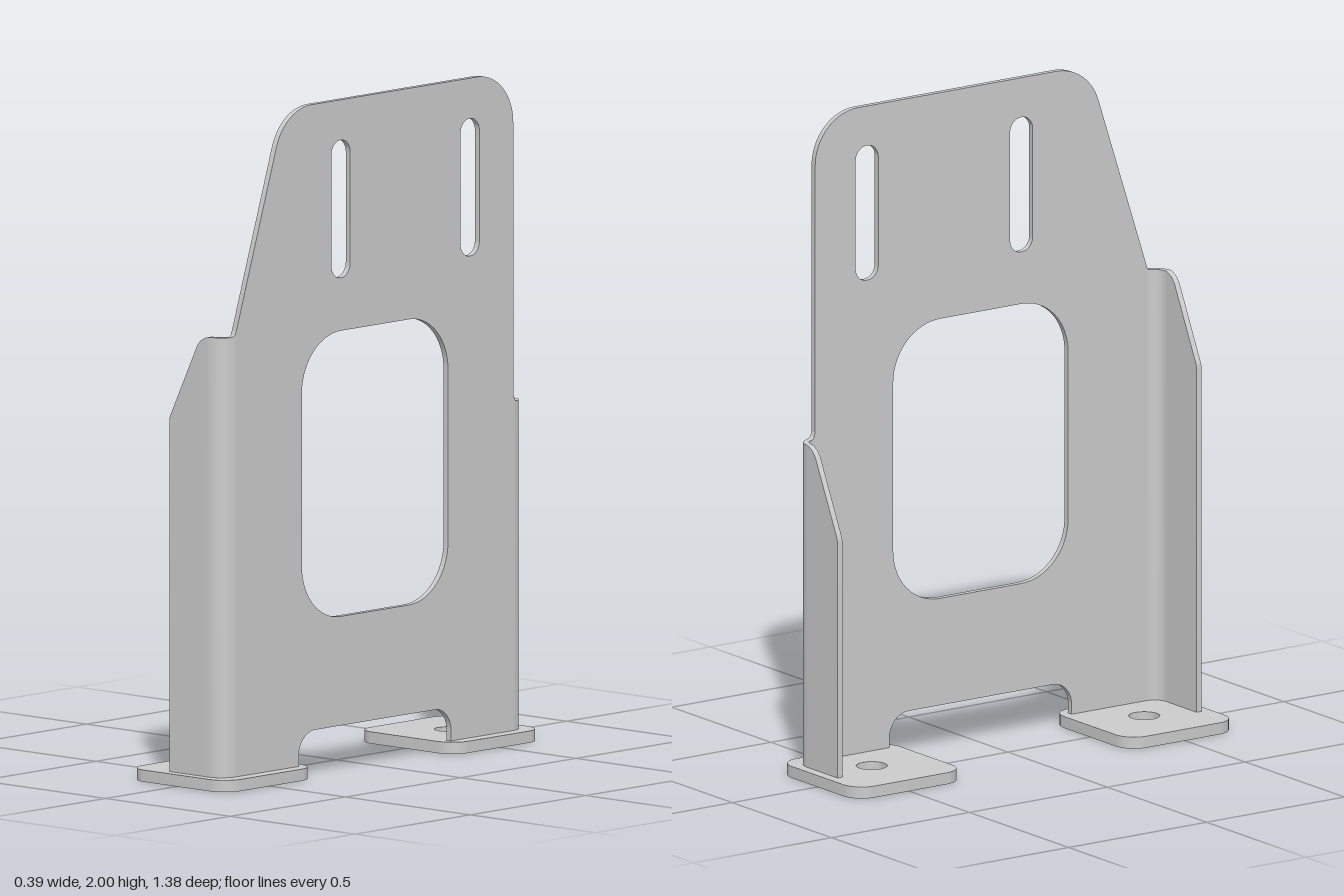
import * as THREE from 'three';
import { toCreasedNormals } from 'three/addons/utils/BufferGeometryUtils.js';

const T = 0.018;        // sheet thickness
const FACE = 0.156;     // outer x of the panel
const BASE = 0.035;     // height of the foot plates
const EDGE = 0.6;       // z where the panel starts to bend
const BEND = 0.06;      // outer bend radius

const material = new THREE.MeshStandardMaterial({ color: 0xcccccc });

function addMesh(parent, name, geometry) {
  const mesh = new THREE.Mesh(toCreasedNormals(geometry, 0.5), material);
  mesh.name = name;
  parent.add(mesh);
  return mesh;
}

// Closed path through corners [x, y, radius], each rounded by its radius
function roundedPath(path, corners) {
  const n = corners.length;
  corners.forEach(([x, y, r = 0], i) => {
    const p = new THREE.Vector2(x, y);
    const toPrev = new THREE.Vector2(...corners[(i + n - 1) % n].slice(0, 2)).sub(p).normalize();
    const toNext = new THREE.Vector2(...corners[(i + 1) % n].slice(0, 2)).sub(p).normalize();
    const angle = Math.acos(toPrev.dot(toNext));
    const t = r / Math.tan(angle / 2);
    const k = t - (4 / 3) * Math.tan((Math.PI - angle) / 4) * r;
    const at = (dir, d) => p.clone().addScaledVector(dir, d);
    const a = at(toPrev, t), b = at(toNext, t);
    if (i === 0) path.moveTo(a.x, a.y);
    else path.lineTo(a.x, a.y);
    if (r > 0) {
      const c = at(toPrev, k), d = at(toNext, k);
      path.bezierCurveTo(c.x, c.y, d.x, d.y, b.x, b.y);
    }
  });
  path.closePath();
  return path;
}

function roundedRect(path, x0, y0, x1, y1, r) {
  return roundedPath(path, [[x0, y0, r], [x1, y0, r], [x1, y1, r], [x0, y1, r]]);
}

// Upright panel, drawn with its horizontal axis along -z
function panelGeometry() {
  const shape = roundedPath(new THREE.Shape(), [
    [-EDGE, BASE], [-0.33, BASE], [-0.33, 0.136, 0.07],
    [0.33, 0.136, 0.07], [0.33, BASE], [EDGE, BASE],
    [EDGE, 2, 0.155], [-0.391, 2, 0.16], [-EDGE, 1.365],
  ]);
  shape.holes.push(roundedRect(new THREE.Path(), -0.317, 0.461, 0.317, 1.312, 0.17));
  for (const s of [-0.148, 0.412]) {
    shape.holes.push(roundedRect(new THREE.Path(), s - 0.041, 1.47, s + 0.041, 1.88, 0.0405));
  }
  return new THREE.ExtrudeGeometry(shape, { depth: T, bevelEnabled: false, curveSegments: 16 })
    .rotateY(Math.PI / 2).translate(FACE - T, 0, 0);
}

// Bend and side flange: a strip swept round the corner with a varying top edge
function flangeGeometry(side, height) {
  const stations = [];
  const cx = FACE - BEND, steps = 16;
  for (let i = 0; i <= steps; i++) {
    const a = (i / steps) * Math.PI / 2;
    const u = Math.min(1, (BEND * a) / 0.02);
    const fillet = 0.02 * (1 - Math.sqrt(1 - (1 - u) ** 2));
    const point = r => [cx + r * Math.cos(a), EDGE + r * Math.sin(a)];
    stations.push({ o: point(BEND), i: point(BEND - T), top: height + fillet });
  }
  // flat part with the sloped, softened corner: [x, drop below the top]
  const profile = [[0.085, 0.003], [0.067, 0.013], [0.053, 0.03],
    [-0.05, 0.24], [-0.056, 0.253], [-0.058, 0.265]];
  for (const [x, drop] of profile) {
    stations.push({ o: [x, EDGE + BEND], i: [x, EDGE + BEND - T], top: height - drop });
  }

  const positions = [];
  const quad = (...q) => {
    const order = side > 0 ? [0, 1, 2, 0, 2, 3] : [0, 2, 1, 0, 3, 2];
    for (const k of order) positions.push(q[k][0], q[k][1], q[k][2] * side);
  };
  const corners = s => ({
    ob: [s.o[0], BASE, s.o[1]], ot: [s.o[0], s.top, s.o[1]],
    ib: [s.i[0], BASE, s.i[1]], it: [s.i[0], s.top, s.i[1]],
  });
  for (let n = 0; n < stations.length - 1; n++) {
    const p = corners(stations[n]), q = corners(stations[n + 1]);
    quad(p.ob, p.ot, q.ot, q.ob);
    quad(p.ib, q.ib, q.it, p.it);
    quad(p.ot, p.it, q.it, q.ot);
    quad(p.ob, q.ob, q.ib, p.ib);
  }
  const e = corners(stations[stations.length - 1]);
  quad(e.ob, e.ot, e.it, e.ib);

  const geometry = new THREE.BufferGeometry();
  geometry.setAttribute('position', new THREE.Float32BufferAttribute(positions, 3));
  return geometry;
}

// Rounded square foot with a bolt hole
function footGeometry() {
  const h = 0.197;
  const shape = roundedRect(new THREE.Shape(), -h, -h, h, h, 0.066);
  const hole = new THREE.Path();
  hole.absarc(0, 0, 0.046, 0, Math.PI * 2, true);
  shape.holes.push(hole);
  return new THREE.ExtrudeGeometry(shape, { depth: BASE, bevelEnabled: false, curveSegments: 16 })
    .rotateX(-Math.PI / 2);
}

export function createModel() {
  const group = new THREE.Group();
  group.name = 'mountingBracket';
  addMesh(group, 'panel', panelGeometry());
  addMesh(group, 'frontFlange', flangeGeometry(1, 1.345));
  addMesh(group, 'backFlange', flangeGeometry(-1, 1.015));
  addMesh(group, 'frontFoot', footGeometry()).position.z = 0.494;
  addMesh(group, 'backFoot', footGeometry()).position.z = -0.494;
  return group;
}
